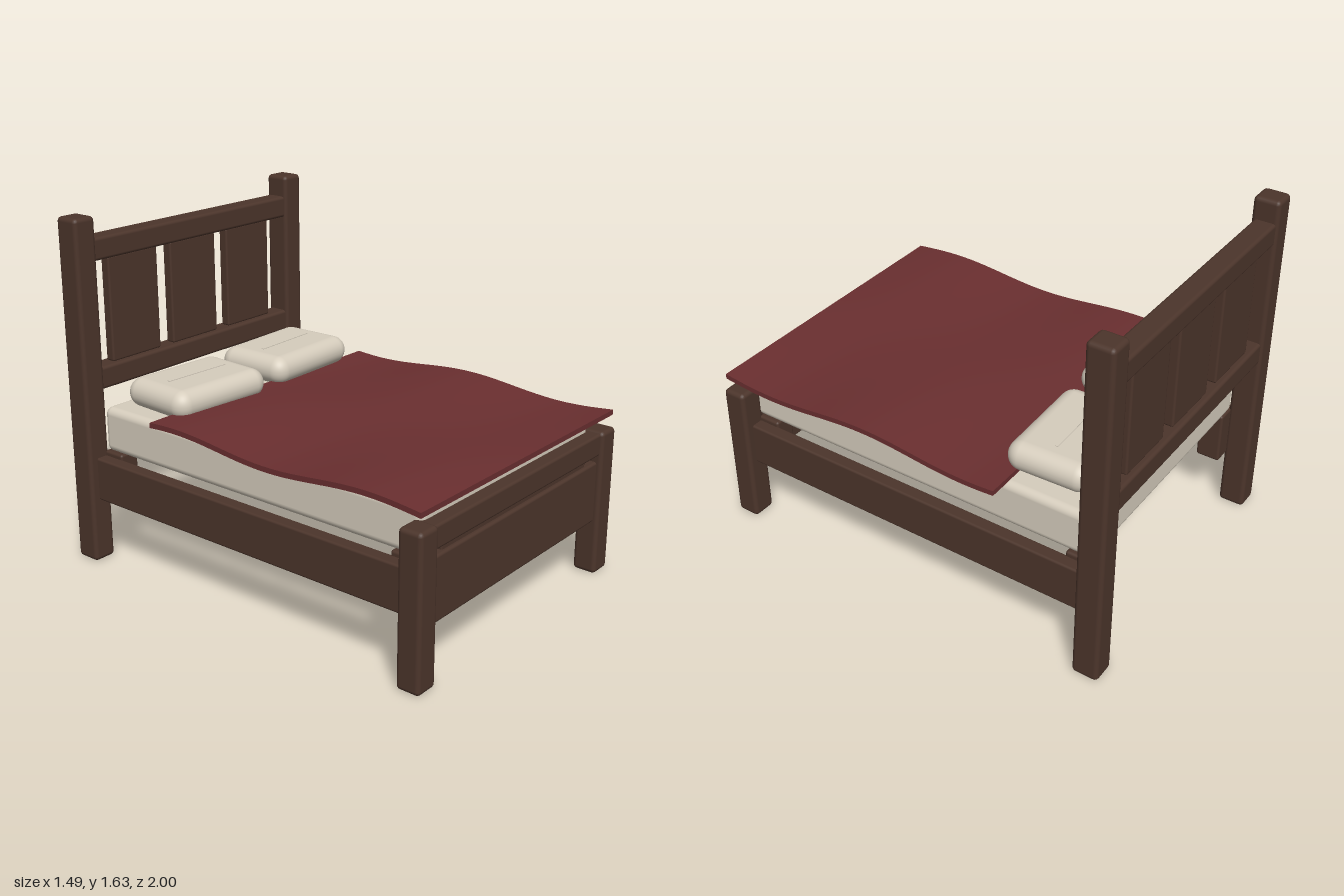
import * as THREE from 'three';
import { RoundedBoxGeometry } from 'three/addons/geometries/RoundedBoxGeometry.js';

export function createModel() {
  const bed = new THREE.Group();
  bed.name = 'bed';
  const mat = (name, color) => {
    const m = new THREE.MeshStandardMaterial({ color });
    m.name = name;
    return m;
  };
  const wood = mat('dark wood', 0x4c352b);
  const linen = mat('cream linen', 0xd6cdbd);
  const red = mat('red wool', 0x6a2f30);

  // Rounded box given by its min and max on each axis
  const block = (name, material, [x0, x1], [y0, y1], [z0, z1], radius, segments = 2) => {
    const geo = new RoundedBoxGeometry(x1 - x0, y1 - y0, z1 - z0, segments, radius);
    const mesh = new THREE.Mesh(geo, material);
    mesh.name = name;
    mesh.position.set((x0 + x1) / 2, (y0 + y1) / 2, (z0 + z1) / 2);
    bed.add(mesh);
    return mesh;
  };
  // Range on one side of the bed, mirrored by s
  const side = (s, a, b) => (s > 0 ? [a, b] : [-b, -a]);

  // Posts, side rails and inner corner blocks
  for (const s of [1, -1]) {
    const n = s > 0 ? 'left' : 'right';
    block(n + 'HeadPost', wood, side(s, 0.627, 0.743), [0, 1.633], [-1, -0.875], 0.02);
    block(n + 'FootPost', wood, side(s, 0.627, 0.743), [0, 0.698], [0.885, 1], 0.02);
    block(n + 'SideRail', wood, side(s, 0.635, 0.7), [0.305, 0.512], [-0.9, 0.91], 0.01);
    block(n + 'HeadCornerBlock', wood, side(s, 0.545, 0.645), [0.28, 0.535], [-0.885, -0.77], 0.012);
    block(n + 'FootCornerBlock', wood, side(s, 0.545, 0.645), [0.28, 0.535], [0.78, 0.895], 0.012);
  }

  // Headboard
  block('headTopRail', wood, [-0.65, 0.65], [1.425, 1.53], [-0.99, -0.888], 0.015);
  block('headBottomRail', wood, [-0.65, 0.65], [0.825, 0.932], [-0.99, -0.888], 0.015);
  for (const x of [-0.383, 0, 0.38]) {
    block('headPanel', wood, [x - 0.15, x + 0.15], [0.93, 1.427], [-0.965, -0.915], 0.01);
  }

  // Footboard
  block('footTopRail', wood, [-0.64, 0.64], [0.585, 0.69], [0.9, 0.985], 0.012);
  block('footMiddleSlat', wood, [-0.55, 0.55], [0.53, 0.6], [0.928, 0.958], 0.006);
  block('footPanel', wood, [-0.638, 0.638], [0.26, 0.553], [0.915, 0.975], 0.012);

  // Mattress
  block('mattress', linen, [-0.635, 0.635], [0.53, 0.745], [-0.887, 0.92], 0.035, 4);

  // Pillows, each with a fine raised seam
  for (const [x, z, turn] of [[-0.323, -0.587, -0.055], [0.308, -0.607, 0.035]]) {
    const pillow = block('pillow', linen, [x - 0.272, x + 0.272], [0.755, 0.893], [z - 0.197, z + 0.197], 0.068, 6);
    pillow.rotation.y = turn;
    const seam = new THREE.Mesh(new THREE.BoxGeometry(0.34, 0.006, 0.014), linen);
    seam.name = 'pillowSeam';
    seam.position.y = 0.069;
    pillow.add(seam);
  }

  // Blanket: thin slab with gentle crossing waves
  const geo = new THREE.BoxGeometry(1.46, 0.024, 1.46, 28, 1, 40);
  geo.translate(0, 0.767, 0.255);
  const p = geo.attributes.position;
  for (let i = 0; i < p.count; i++) {
    const x = p.getX(i), z = p.getZ(i);
    p.setY(i, p.getY(i) + 0.019 * Math.sin(2.1 * x) * Math.cos(6 * (z - 0.2)));
  }
  geo.computeVertexNormals();
  const blanket = new THREE.Mesh(geo, red);
  blanket.name = 'blanket';
  bed.add(blanket);

  return bed;
}
